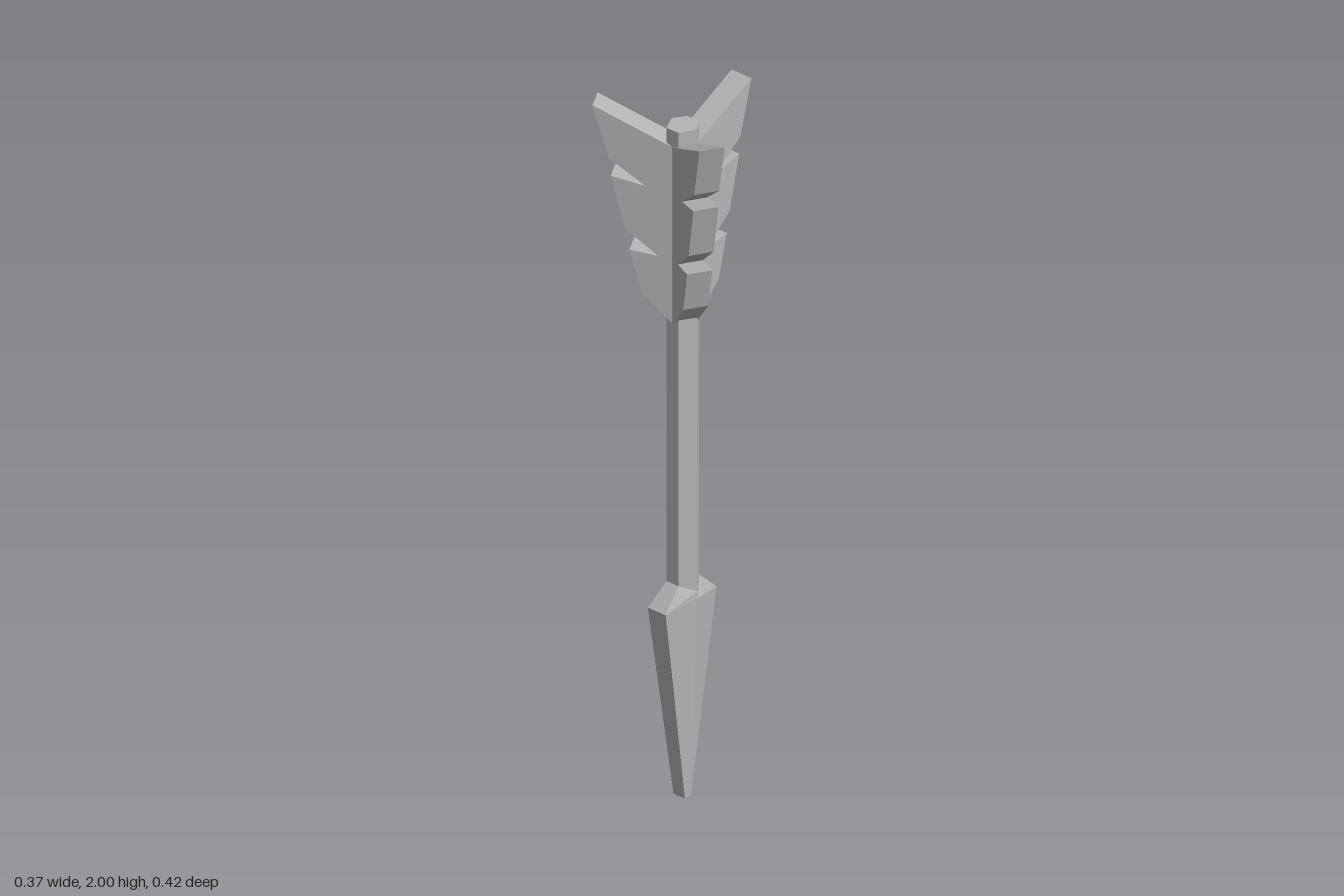
import * as THREE from 'three';

// Six-sided cross-section: flat ends at x = right / left, a ridge at +z and -z
function ring(right, left, ridgeX, endZ, ridgeZ, endY, ridgeY = endY) {
  return [
    [right, endY, -endZ], [right, endY, endZ], [ridgeX, ridgeY, ridgeZ],
    [left, endY, endZ], [left, endY, -endZ], [ridgeX, ridgeY, -ridgeZ],
  ];
}

// Skin a list of rings, lowest first, and close both ends
function loft(rings) {
  const n = rings[0].length;
  const last = (rings.length - 1) * n;
  const index = [];
  for (let k = 0; k < rings.length - 1; k++) {
    for (let i = 0; i < n; i++) {
      const a = k * n + i, b = k * n + (i + 1) % n;
      index.push(a, a + n, b, b, a + n, b + n);
    }
  }
  for (let i = 1; i < n - 1; i++) {
    index.push(0, i, i + 1, last, last + i + 1, last + i);
  }
  const indexed = new THREE.BufferGeometry();
  indexed.setAttribute('position', new THREE.Float32BufferAttribute(rings.flat(2), 3));
  indexed.setIndex(index);
  const geometry = indexed.toNonIndexed();
  geometry.computeVertexNormals();
  return geometry;
}

export function createModel() {
  const model = new THREE.Group();
  model.name = 'arrow';
  const grey = new THREE.MeshStandardMaterial({ color: 0xb4b4b4, flatShading: true });
  grey.name = 'grey';

  function add(name, geometry) {
    const mesh = new THREE.Mesh(geometry, grey);
    mesh.name = name;
    model.add(mesh);
    return mesh;
  }

  // Hexagonal shaft
  add('shaft', loft([
    ring(0.04, -0.04, 0.005, 0.02, 0.043, 0.57),
    ring(0.04, -0.04, 0.005, 0.02, 0.043, 1.95),
  ]));

  // Flattened point, blunt at the tip, with sloping shoulders
  add('arrowhead', loft([
    ring(0.01, -0.014, 0.003, 0.019, 0.02, 0),
    ring(0.0955, -0.1005, 0.006, 0.03, 0.045, 0.575, 0.585),
    ring(0.04, -0.04, 0.005, 0.02, 0.043, 0.63, 0.605),
  ]));

  // Three notched feathers around the shaft
  const outline = [
    [0, 1.365], [0.1, 1.47], [0.131, 1.59], [0.058, 1.58], [0.142, 1.65],
    [0.179, 1.8], [0.09, 1.78], [0.184, 1.85], [0.226, 2], [0, 1.89],
  ].map(([x, y]) => new THREE.Vector2(x, y));
  const thickness = 0.067;
  const feather = new THREE.ExtrudeGeometry(new THREE.Shape(outline), {
    depth: thickness, bevelEnabled: false,
  });
  feather.translate(0, 0, -thickness / 2);
  ['leftFeather', 'backFeather', 'frontFeather'].forEach((name, i) => {
    add(name, feather).rotation.y = i * Math.PI * 2 / 3;
  });

  // Centre the whole arrow
  model.children.forEach((part) => part.position.set(-0.042, 0, -0.001));
  return model;
}
